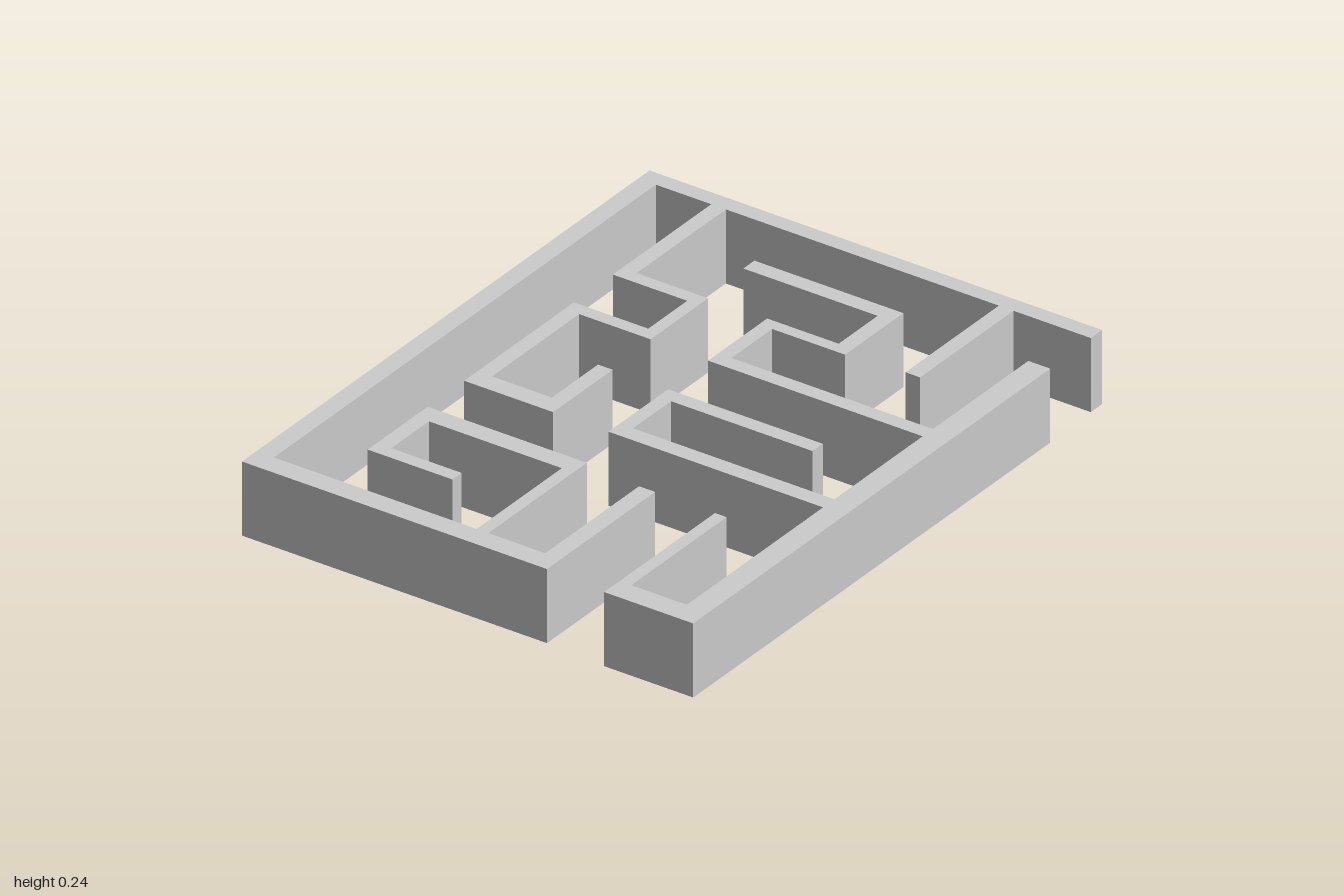
import * as THREE from 'three';

const HEIGHT = 0.24;

// Floor-plan outlines of the maze walls, as [x, z] corners
const walls = {
  // Left, back and front perimeter, ending in the exit-side return
  outerWall: [[-0.78, -1], [0.77, -1], [0.77, -0.945], [-0.72, -0.945], [-0.72, 0.917],
    [0.21, 0.917], [0.21, 0.46], [0.265, 0.46], [0.265, 0.987], [-0.78, 0.987]],
  // Right perimeter with its hooked front end
  rightWall: [[0.7, -0.74], [0.775, -0.74], [0.775, 1], [0.47, 1], [0.47, 0.46],
    [0.51, 0.46], [0.51, 0.925], [0.7, 0.925]],
  // Straight spur from the back wall
  backSpur: [[0.455, -0.945], [0.505, -0.945], [0.505, -0.49], [0.455, -0.49]],
  // Meandering wall from the back
  meanderWall: [[-0.53, -0.945], [-0.48, -0.945], [-0.48, -0.51], [-0.235, -0.51],
    [-0.235, -0.23], [-0.48, -0.23], [-0.48, 0.195], [-0.275, 0.195], [-0.275, -0.03],
    [-0.225, -0.03], [-0.225, 0.26], [-0.53, 0.26], [-0.53, -0.275], [-0.275, -0.275],
    [-0.275, -0.465], [-0.53, -0.465]],
  // S-shaped wall from the right perimeter
  zigzagWall: [[-0.25, -0.757], [0.26, -0.757], [0.26, -0.473], [0.01, -0.473],
    [0.01, -0.275], [0.7, -0.275], [0.7, -0.225], [-0.035, -0.225], [-0.035, -0.513],
    [0.21, -0.513], [0.21, -0.703], [-0.25, -0.703]],
  // U-shaped wall from the right perimeter
  hairpinWall: [[-0.035, -0.03], [0.495, -0.03], [0.495, 0.02], [0.01, 0.02],
    [0.01, 0.205], [0.7, 0.205], [0.7, 0.26], [-0.035, 0.26]],
  // Spiral rising from the front wall
  spiralWall: [[0.015, 0.917], [0.015, 0.437], [-0.53, 0.437], [-0.53, 0.73],
    [-0.24, 0.73], [-0.24, 0.685], [-0.48, 0.685], [-0.48, 0.502], [-0.025, 0.502],
    [-0.025, 0.917]],
};

export function createModel() {
  const model = new THREE.Group();
  model.name = 'maze';
  const material = new THREE.MeshStandardMaterial({ color: 0xcccccc, flatShading: true });

  // Raise each outline from the ground to the wall height
  for (const [name, corners] of Object.entries(walls)) {
    const shape = new THREE.Shape(corners.map(([x, z]) => new THREE.Vector2(x, -z)));
    const geometry = new THREE.ExtrudeGeometry(shape, { depth: HEIGHT, bevelEnabled: false });
    geometry.rotateX(-Math.PI / 2);
    const wall = new THREE.Mesh(geometry, material);
    wall.name = name;
    model.add(wall);
  }
  return model;
}
